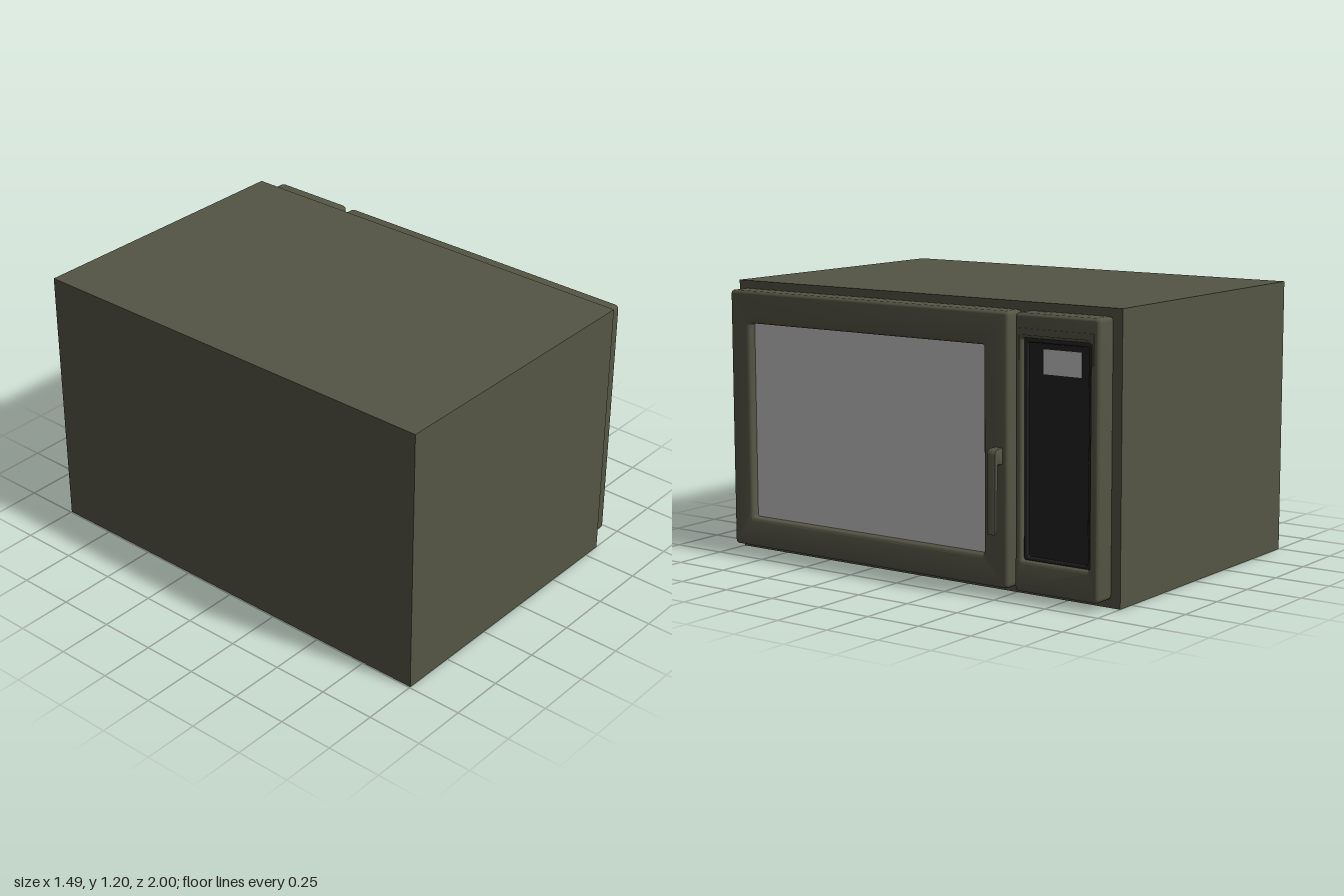
import * as THREE from 'three';
import { toCreasedNormals } from 'three/addons/utils/BufferGeometryUtils.js';

const paint = new THREE.MeshStandardMaterial({ color: 0x555545 });
paint.name = 'olive paint';
const glass = new THREE.MeshStandardMaterial({ color: 0xc8c8c8 });
glass.name = 'pale glass';
const dark = new THREE.MeshStandardMaterial({ color: 0x222222 });
dark.name = 'dark plastic';

// Rounded rectangle over z0..z1 and y0..y1; the drawing's x axis is -z.
function roundedRect(path, z0, z1, y0, y1, r) {
  const a = -z1, b = -z0;
  path.moveTo(a + r, y0);
  path.lineTo(b - r, y0);
  path.quadraticCurveTo(b, y0, b, y0 + r);
  path.lineTo(b, y1 - r);
  path.quadraticCurveTo(b, y1, b - r, y1);
  path.lineTo(a + r, y1);
  path.quadraticCurveTo(a, y1, a, y1 - r);
  path.lineTo(a, y0 + r);
  path.quadraticCurveTo(a, y0, a + r, y0);
  return path;
}

// Bevelled rectangular frame with an opening, filling x0..x1.
function frame(name, material, outer, opening, x0, x1, bevel, radius) {
  const shape = roundedRect(new THREE.Shape(), ...outer, radius);
  shape.holes.push(roundedRect(new THREE.Path(), ...opening, 0.012));
  const geo = new THREE.ExtrudeGeometry(shape, {
    depth: x1 - x0 - 2 * bevel, bevelThickness: bevel, bevelSize: bevel,
    bevelOffset: -bevel, bevelSegments: 3, curveSegments: 4,
  });
  geo.translate(0, 0, x0 + bevel);
  geo.rotateY(Math.PI / 2);
  const mesh = new THREE.Mesh(toCreasedNormals(geo, 0.6), material);
  mesh.name = name;
  return mesh;
}

// Box given by its limits along each axis.
function block(name, material, x0, x1, y0, y1, z0, z1) {
  const mesh = new THREE.Mesh(new THREE.BoxGeometry(x1 - x0, y1 - y0, z1 - z0), material);
  mesh.position.set((x0 + x1) / 2, (y0 + y1) / 2, (z0 + z1) / 2);
  mesh.name = name;
  return mesh;
}

// Hooked handle: side profile extruded across its width.
function handle() {
  const s = new THREE.Shape();
  s.moveTo(0.68, 0.617);
  s.lineTo(0.722, 0.617);
  s.quadraticCurveTo(0.742, 0.612, 0.742, 0.59);
  s.lineTo(0.742, 0.265);
  s.quadraticCurveTo(0.726, 0.268, 0.724, 0.285);
  s.lineTo(0.72, 0.54);
  s.quadraticCurveTo(0.72, 0.56, 0.708, 0.548);
  s.lineTo(0.68, 0.548);
  const b = 0.006;
  const geo = new THREE.ExtrudeGeometry(s, {
    depth: 0.03, bevelThickness: b, bevelSize: b, bevelOffset: -b, bevelSegments: 2, curveSegments: 6,
  });
  geo.translate(0, 0, -0.494);
  const mesh = new THREE.Mesh(toCreasedNormals(geo, 0.7), paint);
  mesh.name = 'handle';
  return mesh;
}

export function createModel() {
  const model = new THREE.Group();
  model.name = 'microwaveOven';
  model.add(block('cabinet', paint, -0.745, 0.585, 0, 1.203, -1, 1));

  // Door with its recessed window and handle
  const door = new THREE.Group();
  door.name = 'door';
  door.add(
    frame('doorFrame', paint, [-0.525, 0.962, 0.035, 1.17], [-0.405, 0.855, 0.165, 1.028], 0.583, 0.69, 0.015, 0.02),
    block('window', glass, 0.645, 0.652, 0.16, 1.033, -0.41, 0.86),
    handle(),
  );
  model.add(door);

  // Control panel with its dark inset and display
  const controls = new THREE.Group();
  controls.name = 'controlPanel';
  controls.add(
    frame('panelFrame', paint, [-0.96, -0.56, 0.035, 1.17], [-0.917, -0.593, 0.165, 1.07], 0.583, 0.69, 0.013, 0.02),
    frame('insetRim', dark, [-0.917, -0.593, 0.165, 1.07], [-0.9, -0.61, 0.18, 1.052], 0.645, 0.672, 0.005, 0.012),
    block('inset', dark, 0.65, 0.66, 0.165, 1.07, -0.917, -0.593),
    block('display', glass, 0.659, 0.662, 0.928, 1.028, -0.86, -0.68),
    block('hood', paint, 0.685, 0.694, 1.083, 1.11, -0.935, -0.577),
  );
  // Short cheeks down both sides of the hood
  for (const z of [-0.935, -0.581]) {
    controls.add(block('hoodCheek', paint, 0.685, 0.694, 0.98, 1.083, z, z + 0.004));
  }
  model.add(controls);
  return model;
}
